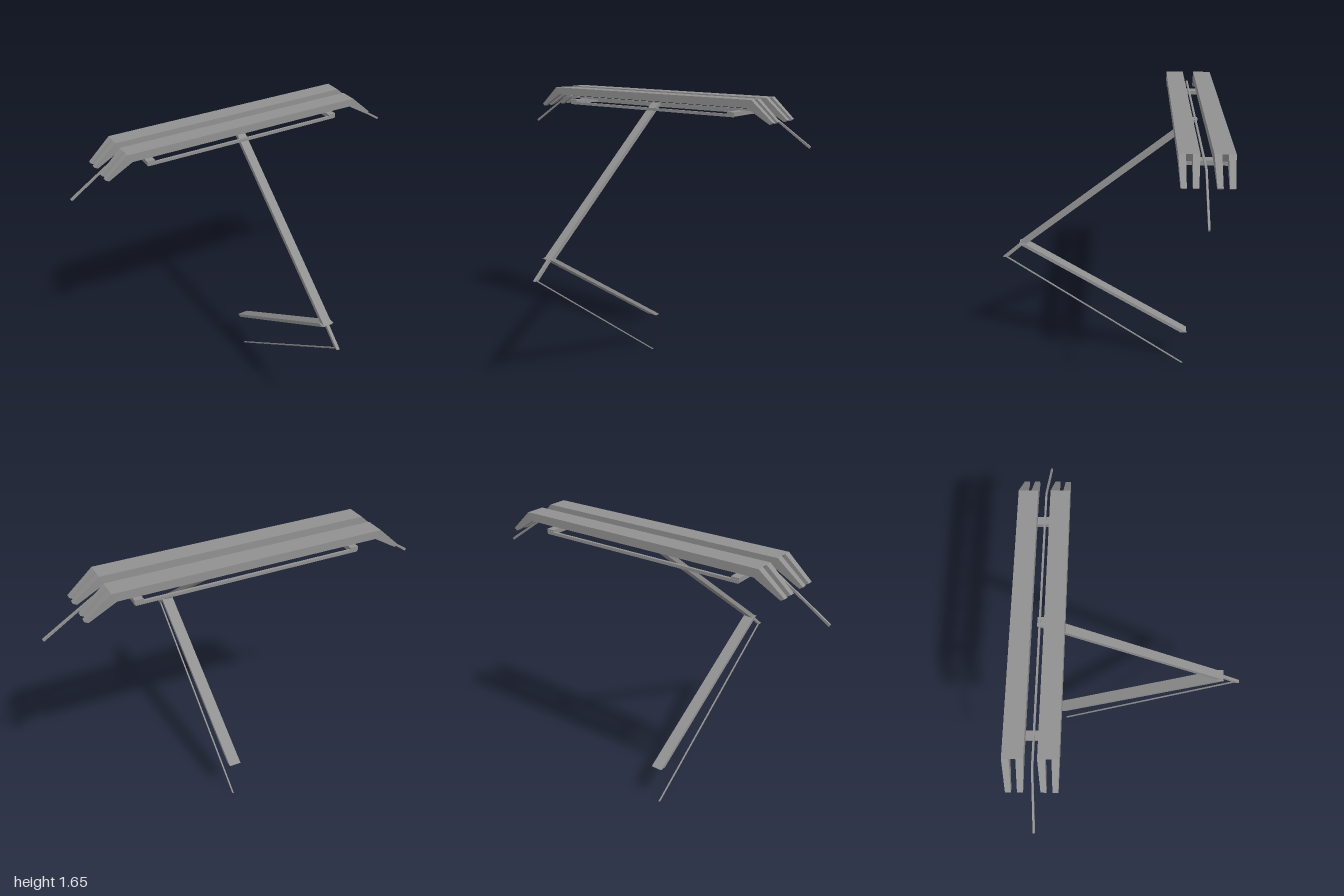
import * as THREE from 'three';

export function createModel() {
  const model = new THREE.Group();
  const metal = new THREE.MeshStandardMaterial({ color: 0x909090 });
  metal.name = 'grey metal';

  function add(name, geometry) {
    const mesh = new THREE.Mesh(geometry, metal);
    mesh.name = name;
    model.add(mesh);
    return mesh;
  }

  function box(name, w, h, d, x, y, z) {
    add(name, new THREE.BoxGeometry(w, h, d)).position.set(x, y, z);
  }

  // Sloping bar in the z-y plane with level-cut ends
  function slopedBar(name, z0, y0, z1, y1, cut, width) {
    const h = cut / 2;
    const shape = new THREE.Shape([
      new THREE.Vector2(z0 - h, y0), new THREE.Vector2(z0 + h, y0),
      new THREE.Vector2(z1 + h, y1), new THREE.Vector2(z1 - h, y1),
    ]);
    const g = new THREE.ExtrudeGeometry(shape, { depth: width, bevelEnabled: false });
    g.translate(0, 0, -width / 2);
    g.rotateY(-Math.PI / 2);
    add(name, g);
  }

  // Box whose corners are placed by a rule
  function shapedBox(name, rule) {
    const g = new THREE.BoxGeometry(2, 2, 2);
    const p = g.attributes.position;
    for (let i = 0; i < p.count; i++) p.setXYZ(i, ...rule(p.getX(i), p.getY(i), p.getZ(i)));
    g.computeVertexNormals();
    add(name, g);
  }

  // Folding arms
  slopedBar('lowerArm', -0.471, 0.245, 0.485, 0.835, 0.036, 0.068);
  slopedBar('upperArm', 0.483, 0.832, -0.468, 1.588, 0.038, 0.05);
  slopedBar('kneeLever', 0.592, 0.737, 0.483, 0.832, 0.026, 0.018);
  slopedBar('controlRod', -0.471, 0, 0.595, 0.742, 0.011, 0.008);

  // Two contact strips with forked, sloping ends
  const stripZ = [-0.396, -0.559];
  for (const zc of stripZ) {
    shapedBox('contactStrip', (x, y, z) =>
      [x * (y > 0 ? 0.705 : 0.68), y > 0 ? 1.654 : 1.61, zc + z * 0.05]);
    for (const side of [-1, 1]) {
      for (const fork of [-1, 1]) {
        shapedBox('stripFork', (x, y, z) => {
          const tip = x * side > 0;
          const top = y > 0;
          const outer = z * fork > 0;
          const px = tip ? (top ? 0.834 : 0.815) : (top ? 0.705 : 0.68);
          const py = tip ? (top ? 1.541 : 1.53) : (top ? 1.654 : 1.61);
          const pz = outer ? (tip ? 0.041 : 0.05) : (tip ? 0.014 : 0.015);
          return [side * px, py, zc + fork * pz];
        });
      }
    }
  }

  // Frame beneath the strips
  for (const z of [-0.37, -0.585]) box('frameRail', 1.18, 0.016, 0.014, 0, 1.561, z);
  for (const x of [-0.572, 0.572]) box('frameCrossbar', 0.044, 0.024, 0.225, x, 1.568, -0.4775);

  // Guide horn: level rod with drooping ends
  const hornZ = -0.475;
  box('hornBar', 1.46, 0.011, 0.01, 0, 1.587, hornZ);
  for (const side of [-1, 1]) {
    shapedBox('hornTip', (x, y, z) => {
      const tip = x * side > 0;
      return [side * (tip ? 0.997 + y * 0.003 : 0.73), (tip ? 1.413 : 1.587) + y * 0.0055, hornZ + z * 0.005];
    });
  }
  return model;
}
